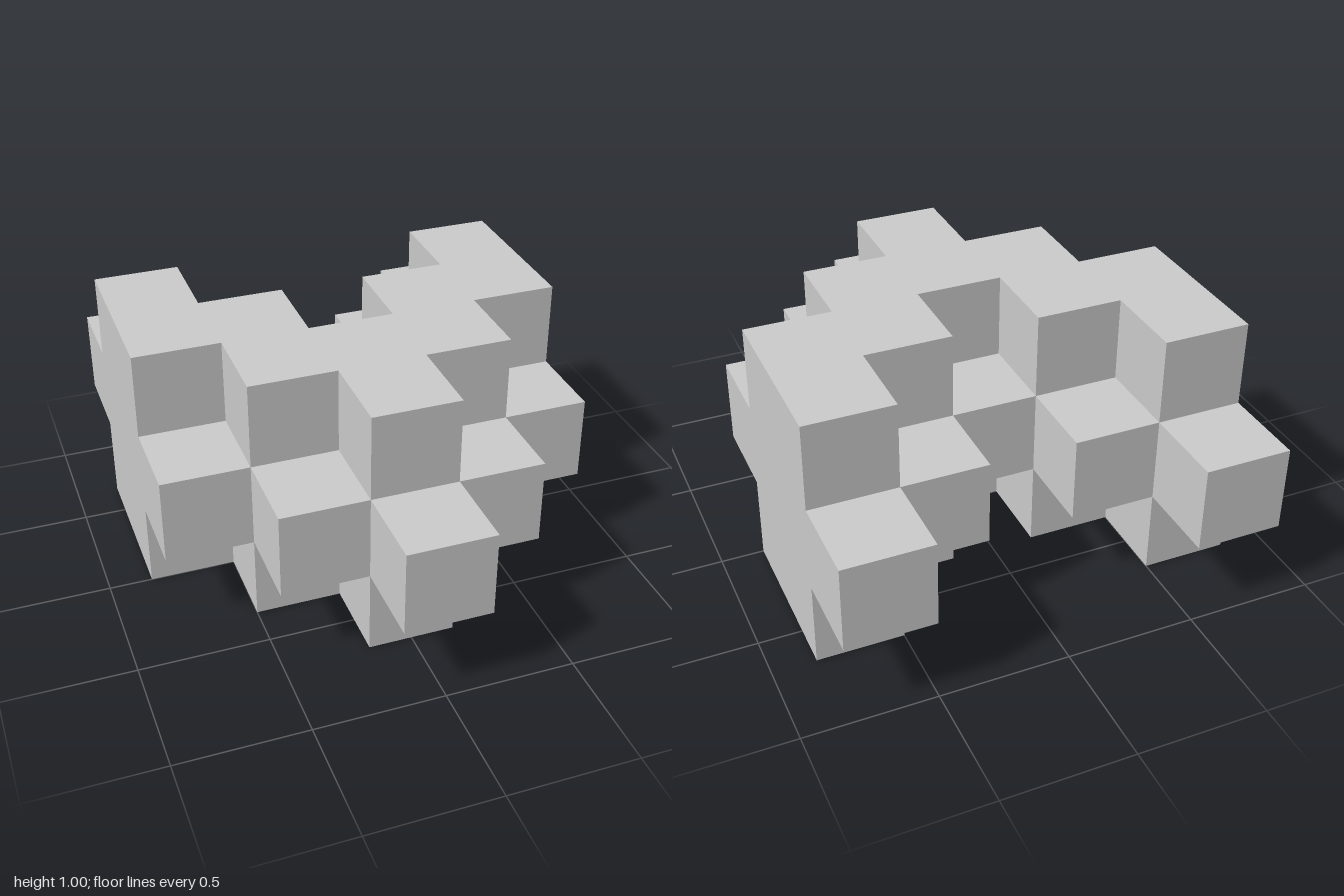
import * as THREE from 'three';
import { mergeGeometries } from 'three/addons/utils/BufferGeometryUtils.js';

const S = 1 / 3; // cube size

// Stepped V: each column moves back one cube per step away from the centre.
// Outer layers are two cubes deep; the middle one sticks out a cube at both ends.
function filled(x, y, z) {
  if (Math.abs(x) > 2 || y < 0 || y > 2) return false;
  const extra = y === 1 ? 1 : 0;
  const back = -Math.abs(x);
  return z >= back - extra && z < back + 2 + extra;
}

// Outward directions, each with the turn that makes a +z plane face that way
const SIDES = [
  { d: [0, 0, 1], rx: 0, ry: 0 },
  { d: [0, 0, -1], rx: 0, ry: Math.PI },
  { d: [1, 0, 0], rx: 0, ry: Math.PI / 2 },
  { d: [-1, 0, 0], rx: 0, ry: -Math.PI / 2 },
  { d: [0, 1, 0], rx: -Math.PI / 2, ry: 0 },
  { d: [0, -1, 0], rx: Math.PI / 2, ry: 0 },
];

// One layer of cubes, keeping only the faces that are exposed
function layerGeometry(y) {
  const faces = [];
  for (let x = -2; x <= 2; x++) {
    for (let z = -3; z <= 2; z++) {
      if (!filled(x, y, z)) continue;
      for (const { d, rx, ry } of SIDES) {
        if (filled(x + d[0], y + d[1], z + d[2])) continue;
        faces.push(new THREE.PlaneGeometry(S, S)
          .translate(0, 0, S / 2)
          .rotateX(rx)
          .rotateY(ry)
          .translate(x * S, (y + 0.5) * S, (z + 0.5) * S));
      }
    }
  }
  return mergeGeometries(faces);
}

export function createModel() {
  const group = new THREE.Group();
  group.name = 'steppedChevronBlock';
  const grey = new THREE.MeshStandardMaterial({ color: 0xcccccc });
  grey.name = 'light grey';

  // Three stacked layers
  ['lowerChevron', 'middleChevron', 'upperChevron'].forEach((name, y) => {
    const mesh = new THREE.Mesh(layerGeometry(y), grey);
    mesh.name = name;
    group.add(mesh);
  });
  return group;
}
